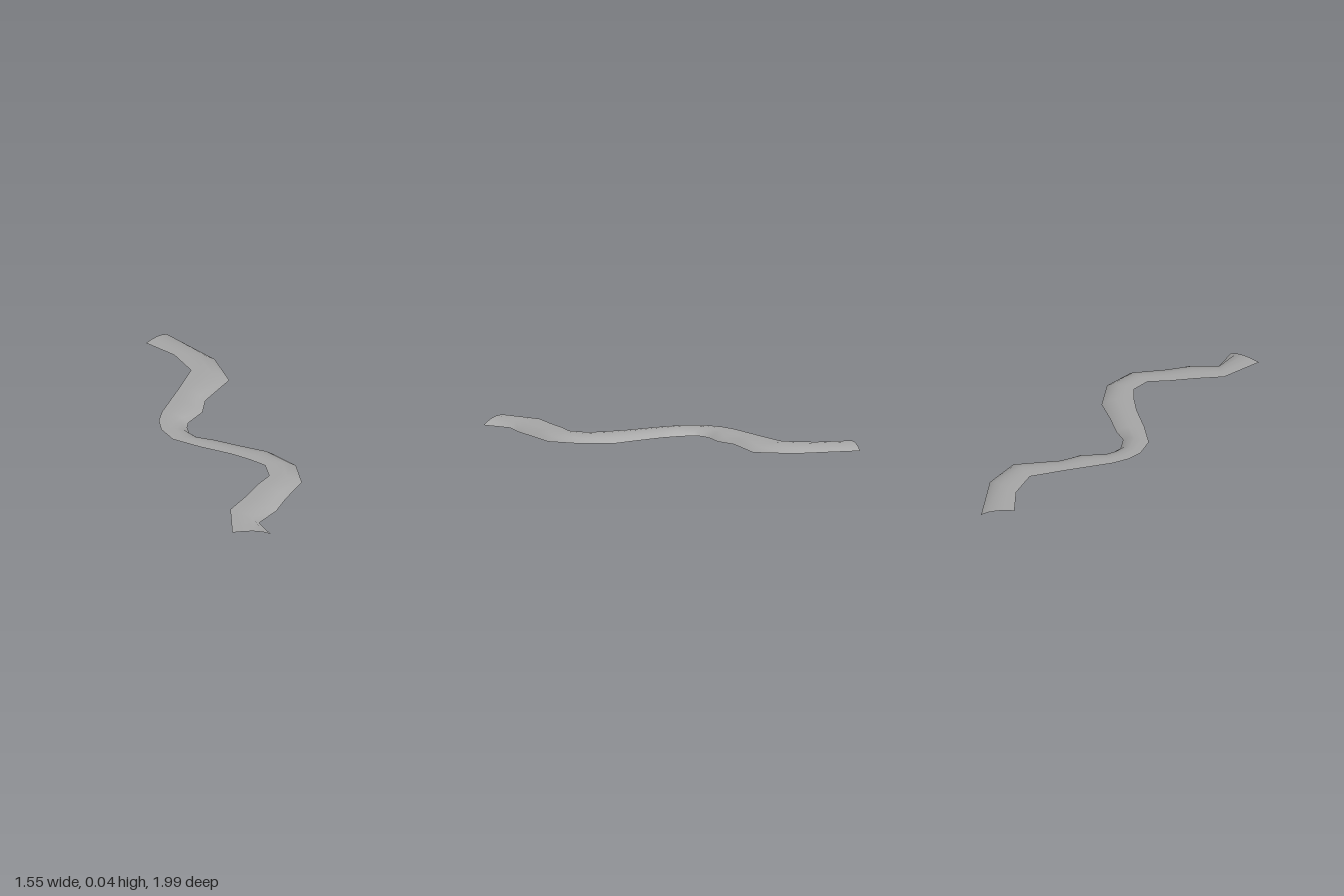
import * as THREE from 'three';

// Stations along the path: raised edge x, z, then sunken edge x, z
const STATIONS = [
  [-0.78, -0.81, -0.73, -1.0], [-0.57, -0.75, -0.36, -0.86], [-0.41, -0.63, -0.185, -0.68],
  [-0.39, -0.42, -0.215, -0.4], [-0.38, -0.27, -0.175, -0.27], [-0.37, -0.12, -0.205, -0.13],
  [-0.345, -0.02, -0.185, -0.07], [-0.29, 0.07, -0.15, -0.02], [-0.18, 0.145, -0.05, 0.02],
  [0, 0.16, 0.04, 0], [0.2, 0.16, 0.2, 0], [0.33, 0.175, 0.38, -0.01],
  [0.44, 0.2, 0.58, 0.07], [0.51, 0.3, 0.69, 0.23], [0.49, 0.41, 0.68, 0.44],
  [0.48, 0.58, 0.69, 0.6], [0.46, 0.75, 0.65, 0.76], [0.58, 0.99, 0.77, 0.865],
];

// Cross-section: fraction of the width, height (nearly flat, then rolling down)
const PROFILE = [[0, 0.042], [0.3, 0.044], [0.55, 0.04], [0.8, 0.029], [1, 0.006]];

export function createModel() {
  const group = new THREE.Group();
  group.name = 'windingPath';

  const positions = [], indices = [];
  const cols = PROFILE.length, last = STATIONS.length - 1;
  STATIONS.forEach(([hx, hz, lx, lz], i) => {
    PROFILE.forEach(([t, h], j) => {
      // the sunken edge undulates a little and lifts at both ends
      const lift = i === 0 || i === last ? 0.006 : 0.003 * Math.sin(i * 2.2) - 0.003;
      const y = h + (j === cols - 1 ? lift : 0);
      positions.push(hx + (lx - hx) * t, y, hz + (lz - hz) * t);
      if (i < last && j < cols - 1) {
        const a = i * cols + j, b = a + cols;
        indices.push(a, b, a + 1, b, b + 1, a + 1);
      }
    });
  });

  const geometry = new THREE.BufferGeometry();
  geometry.setAttribute('position', new THREE.Float32BufferAttribute(positions, 3));
  geometry.setIndex(indices);
  geometry.computeVertexNormals();

  const stone = new THREE.MeshStandardMaterial({ color: 0xa8a8a8, side: THREE.DoubleSide });
  stone.name = 'pathGrey';
  const path = new THREE.Mesh(geometry, stone);
  path.name = 'pathSurface';
  group.add(path);
  return group;
}
